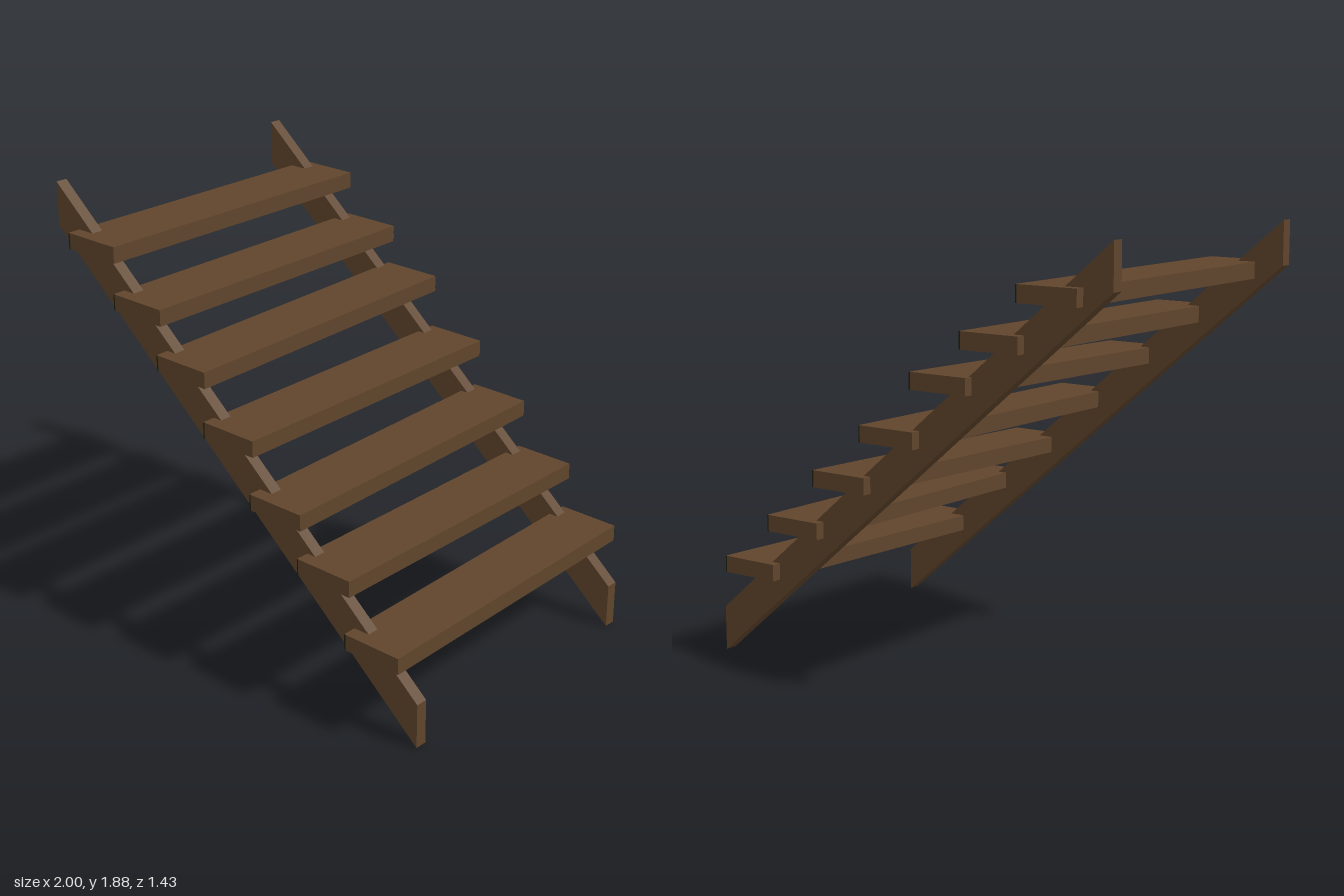
import * as THREE from 'three';

export function createModel() {
  const group = new THREE.Group();
  group.name = 'openStaircase';
  const wood = new THREE.MeshStandardMaterial({ color: 0x60452c });
  wood.name = 'brown wood';
  const dark = new THREE.MeshStandardMaterial({ color: 0x1f2010 });
  dark.name = 'dark edge';

  // Two sloping side boards with plumb-cut ends
  const profile = new THREE.Shape([
    new THREE.Vector2(-1, 1.695), new THREE.Vector2(1, 0),
    new THREE.Vector2(1, 0.195), new THREE.Vector2(-1, 1.885),
  ]);
  const boardGeo = new THREE.ExtrudeGeometry(profile, { depth: 0.053, bevelEnabled: false });
  [['frontStringer', 0.602], ['backStringer', -0.672]].forEach(([name, z]) => {
    const board = new THREE.Mesh(boardGeo, wood);
    board.name = name;
    board.position.z = z;
    group.add(board);
  });

  // Plank treads, some a little crooked: [centre x, centre y, rise towards the back]
  const W = 0.277, H = 0.071, D = 1.428;
  const treadGeo = new THREE.BoxGeometry(W, H, D);
  const stripGeo = new THREE.BoxGeometry(0.006, H, 0.002);
  const treads = [
    [-0.73, 1.67, 0], [-0.465, 1.47, 0.008], [-0.217, 1.28, 0.03], [0.046, 1.051, 0.008],
    [0.301, 0.825, 0.03], [0.559, 0.615, 0.004], [0.811, 0.387, 0.03],
  ];
  treads.forEach(([x, y, rise], i) => {
    const tread = new THREE.Group();
    tread.name = `tread${i + 1}`;
    const plank = new THREE.Mesh(treadGeo, wood);
    plank.name = 'plank';
    tread.add(plank);
    // Thin dark line at one corner of each end
    for (const s of [1, -1]) {
      const strip = new THREE.Mesh(stripGeo, dark);
      strip.name = 'endLine';
      strip.position.set(-s * (W / 2 - 0.003), 0, s * (D / 2));
      tread.add(strip);
    }
    tread.position.set(x, y, 0);
    tread.rotation.x = Math.atan2(rise, D);
    group.add(tread);
  });
  return group;
}
